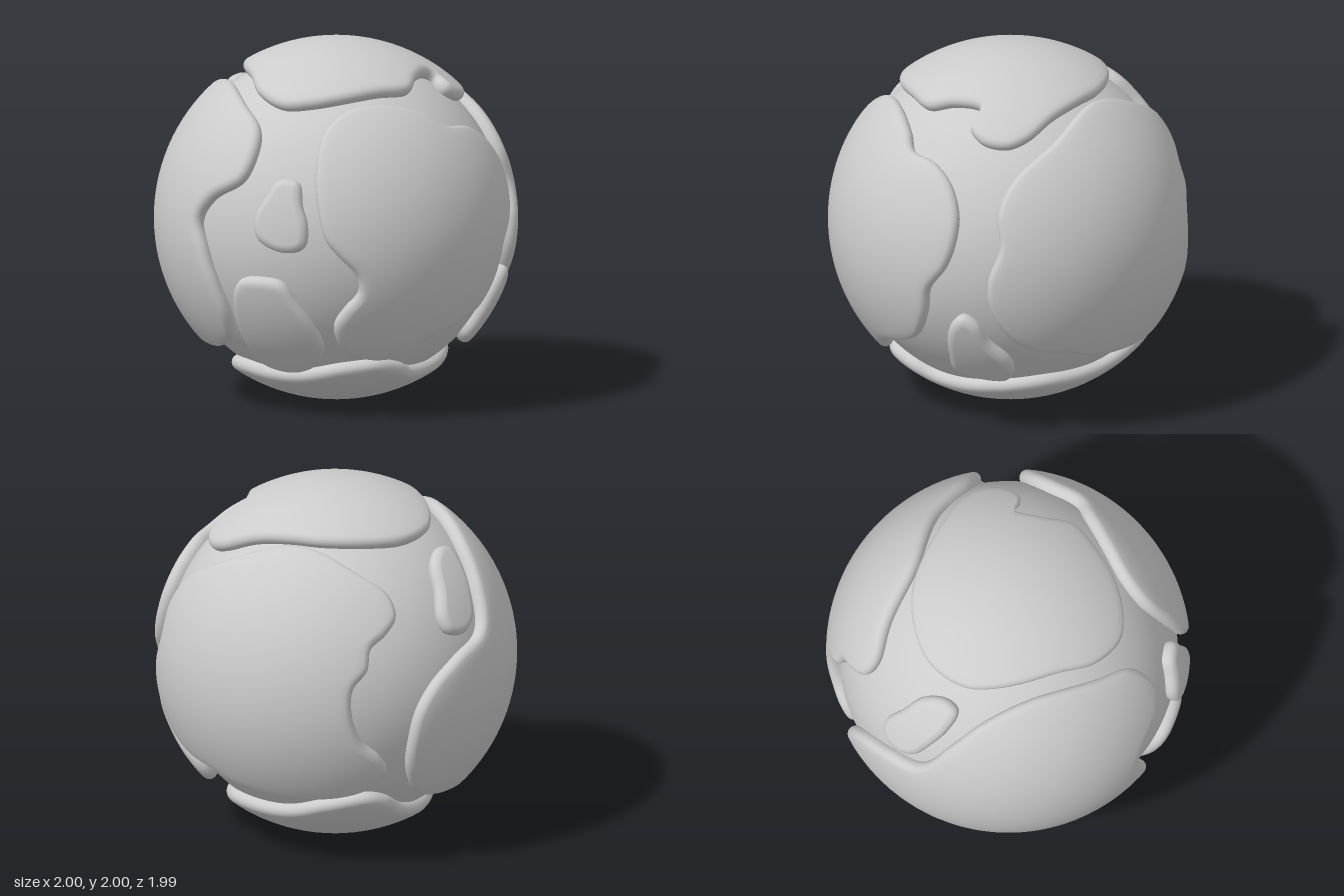
import * as THREE from 'three';

const BASE_RADIUS = 0.93;

// Viewing directions [azimuth, elevation] in degrees, used to lay outlines on the globe
const FRONT = [0, 0], SIDE = [90, 0], TOP = [0, 90];
const FRONT_HIGH = [215, 25], BACK_LOW = [140, -27];

// Project flat points (hundredths of a unit) from a direction onto the globe
function onGlobe([azimuth, elevation], flat) {
  const a = THREE.MathUtils.degToRad(azimuth), e = THREE.MathUtils.degToRad(elevation);
  const right = new THREE.Vector3(Math.cos(a), 0, -Math.sin(a));
  const out = new THREE.Vector3(Math.sin(a) * Math.cos(e), Math.sin(e), Math.cos(a) * Math.cos(e));
  const up = out.clone().cross(right);
  const points = [];
  for (let i = 0; i < flat.length; i += 2) {
    const u = flat[i] / 100, v = flat[i + 1] / 100;
    const d = Math.sqrt(Math.max(0, 0.96 - u * u - v * v));
    points.push(new THREE.Vector3().addScaledVector(right, u)
      .addScaledVector(up, v).addScaledVector(out, d).normalize());
  }
  return points;
}

// Rim cross-section: [inset from outline, radius], from the buried foot to the flat top
const RIM = [[0.02, 0.9], [0.004, 0.935], [0, 0.955], [0.003, 0.97],
  [0.01, 0.983], [0.022, 0.993], [0.038, 0.999]];
const FILL_RINGS = 16;

// Raised plate: rounded rim around a closed outline, then rings closing to the middle
function plateGeometry(points, samples) {
  const middle = points.reduce((s, p) => s.add(p), new THREE.Vector3()).normalize();
  const curve = new THREE.CatmullRomCurve3(points, true, 'centripetal');
  const edge = curve.getSpacedPoints(samples).slice(0, samples).map(p => p.normalize());
  const area = new THREE.Vector3();
  edge.forEach((p, i) => area.add(p.clone().cross(edge[(i + 1) % samples])));
  if (area.dot(middle) < 0) edge.reverse();

  const inward = edge.map((p, i) => {
    const next = edge[(i + 1) % samples], prev = edge[(i + samples - 1) % samples];
    return p.clone().cross(next.clone().sub(prev)).normalize();
  });
  const rings = RIM.map(([inset, radius]) => edge.map((p, i) =>
    p.clone().addScaledVector(inward[i], inset).normalize().multiplyScalar(radius)));
  const last = rings[rings.length - 1];
  for (let k = 1; k < FILL_RINGS; k++) {
    rings.push(last.map(p => p.clone().lerp(middle, k / FILL_RINGS).normalize()));
  }

  const position = [], index = [];
  rings.flat().forEach(p => position.push(p.x, p.y, p.z));
  position.push(middle.x, middle.y, middle.z);
  const tip = rings.length * samples;
  for (let r = 0; r < rings.length; r++) {
    for (let i = 0; i < samples; i++) {
      const j = (i + 1) % samples;
      const a = r * samples + i, b = r * samples + j;
      if (r === rings.length - 1) index.push(a, b, tip);
      else index.push(a, b, b + samples, a, b + samples, a + samples);
    }
  }
  const geometry = new THREE.BufferGeometry();
  geometry.setAttribute('position', new THREE.Float32BufferAttribute(position, 3));
  geometry.setIndex(index);
  geometry.computeVertexNormals();
  return geometry;
}

// Outlines, each made of runs laid on from the direction that faces them best
const PLATES = {
  frontPlate: [
    [FRONT, [-6, 45, -5, 25, 0, 5, 8, -5, 17, -15, 18, -25, 10, -35, 4, -45, 8, -60,
      22, -67, 38, -66, 50, -58, 60, -53]],
    [SIDE, [-50, -50, -38, -42, -32, -25, -30, -10, -20, 5, -15, 20, -14, 35, -20, 50,
      -30, 58, -44, 61, -48, 68]],
    [FRONT, [30, 74, 10, 72, -2, 62]],
  ],
  rightPlate: [
    [FRONT, [-39, 63, -39, 53, -47, 35, -65, 22, -72, 10, -69, -6, -62, -27, -56, -43,
      -54, -56, -60, -65, -73, -66]],
    [FRONT_HIGH, [53, -82, 29, -89, 8, -90, -8, -87, -22, -74, -25, -58, -22, -44, -11, -31,
      8, -20, 29, -10, 38, 17, 44, 41, 53, 60, 66, 70]],
  ],
  backPlate: [
    [SIDE, [15, 53, 8, 37, 10, 18, 4, 0, 4, -16, 13, -35, 26, -46, 45, -50, 53, -55, 66, -58]],
    [FRONT_HIGH, [-40, -78, -34, -71, -40, -63, -51, -52, -57, -36, -56, -23, -48, -15,
      -44, -4, -35, 1, -26, 9, -25, 22, -35, 39]],
    [TOP, [24, 50]],
    [SIDE, [34, 69]],
  ],
  topPlate: [
    [TOP, [-52, 13, -51, -3, -46, -24, -40, -45, -26, -60, -10, -63, 8, -60, 27, -51, 43, -39,
      46, -24, 51, -8, 55, -5, 58, -10, 62, -12, 69, -4, 70, 10, 64, 21, 48, 33, 29, 45,
      13, 52, -8, 54, -29, 49, -42, 39, -50, 26]],
  ],
  bottomPlate: [
    [FRONT, [-57, -78, -50, -77, -36, -79, -20, -79, 6, -73, 28, -71, 40, -75, 44, -79]],
    [SIDE, [-22, -80, 2, -77, 29, -73]],
    [BACK_LOW, [14, -33, 35, -27, 57, -27, 63, -36, 61, -55, 58, -68]],
  ],
  smallUpperFrontPlate: [
    [FRONT, [-23, 38, -15, 36, -13, 24, -10, 13, -11, 2, -16, -2, -28, -2, -39, 5, -40, 16,
      -33, 29, -28, 36]],
  ],
  smallLowerFrontPlate: [
    [FRONT, [-39, -18, -25, -20, -17, -31, -8, -45, -2, -59, -7, -71, -20, -76, -36, -72,
      -46, -59, -52, -40, -52, -27, -48, -20]],
  ],
  smallLeftPlate: [
    [SIDE, [-11, -24, -3, -29, 3, -41, 13, -53, 15, -62, 10, -69, -3, -69, -19, -63,
      -21, -51, -20, -35, -16, -27]],
  ],
  smallBackPlate: [
    [FRONT_HIGH, [21, 40, 30, 38, 32, 25, 29, 9, 24, -4, 14, -10, 3, -7, 0, 2, 5, 17, 10, 32]],
  ],
};

export function createModel() {
  const model = new THREE.Group();
  model.name = 'platedGlobe';
  const material = new THREE.MeshStandardMaterial({ color: 0xcccccc });

  const add = (name, geometry) => {
    const mesh = new THREE.Mesh(geometry, material);
    mesh.name = name;
    mesh.position.y = 1;
    model.add(mesh);
  };

  // Inner globe
  add('globe', new THREE.SphereGeometry(BASE_RADIUS, 96, 64));

  // Raised plates
  for (const [name, runs] of Object.entries(PLATES)) {
    const points = runs.flatMap(([view, flat]) => onGlobe(view, flat));
    add(name, plateGeometry(points, name.startsWith('small') ? 72 : 200));
  }
  return model;
}
